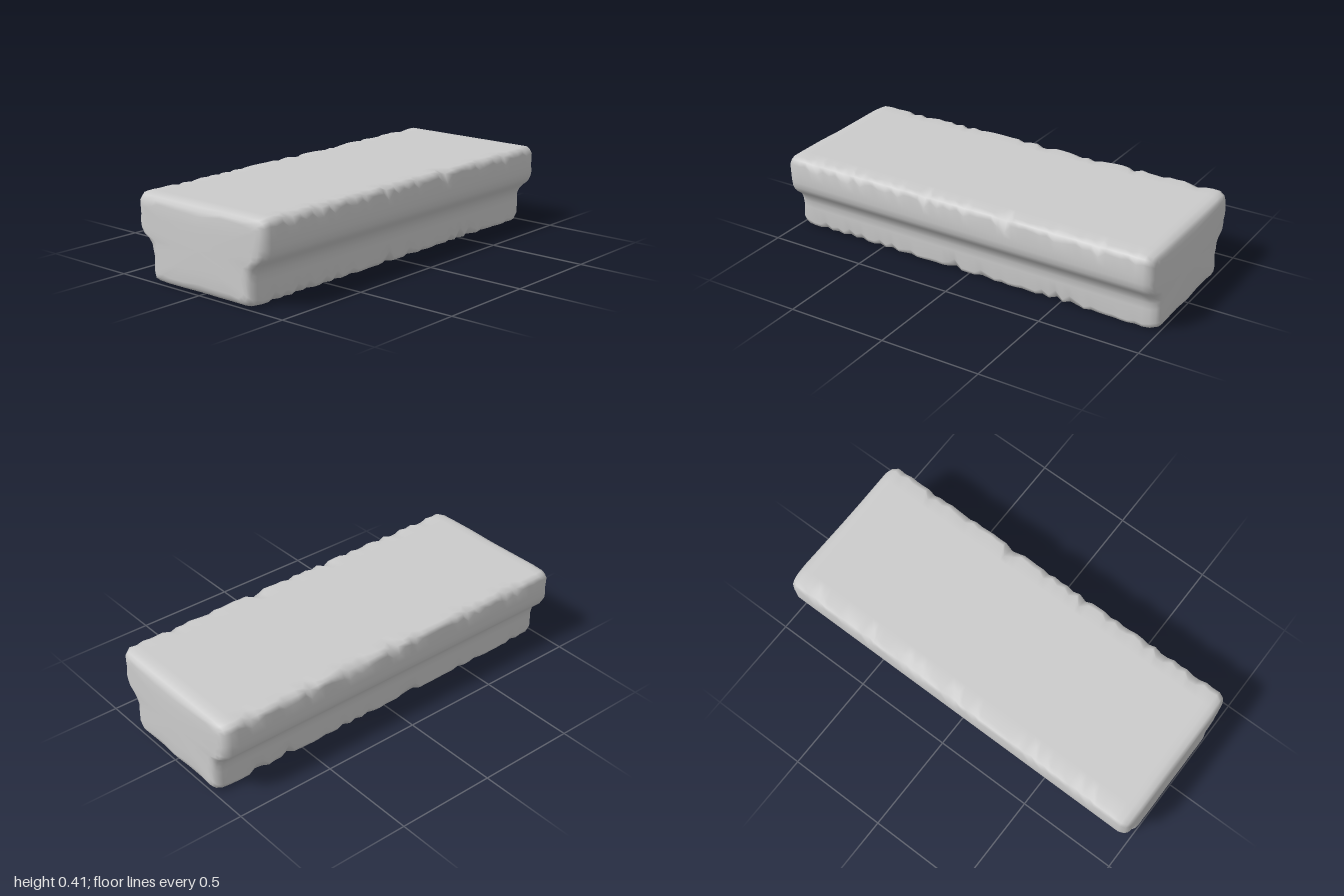
import * as THREE from 'three';

// Small seeded generator for the worn edges
function seeded(seed) {
  return () => {
    seed = (seed * 16807) % 2147483647;
    return seed / 2147483647;
  };
}

// Right half of the section, bottom to top: narrow foot, sloped shoulder, wide head.
// foot and head are the sizes of the worn corners.
function halfSection(foot, head) {
  return [
    [0, 0.003], [0.12, 0.003], [0.22, 0.003],
    [0.314 - foot, 0.004], [0.314 - 0.3 * foot, 0.003 + 0.3 * foot], [0.314, 0.003 + foot],
    [0.313, 0.11], [0.316, 0.145], [0.328, 0.175], [0.35, 0.2],
    [0.38, 0.224], [0.395, 0.25], [0.4, 0.28], [0.4, 0.31],
    [0.4, 0.408 - head], [0.4 - 0.3 * head, 0.408 - 0.3 * head], [0.4 - head, 0.408],
    [0.3, 0.408], [0.15, 0.408], [0, 0.408],
  ];
}

// Lofts the section along z, with rounded ends and irregular chips
function blockGeometry() {
  const rand = seeded(4217);
  const wear = (base) => base + 0.045 * rand() ** 4 + 0.006 * rand();
  const midY = 0.205;

  // Stations: z and how far the section is drawn in (1 = fully closed)
  const end = [[1, 1], [1, 0.5], [0.998, 0.16], [0.994, 0.09], [0.982, 0.035], [0.955, 0]];
  const stations = end.map(([z, inset]) => [-z, inset]);
  const count = 52;
  for (let i = 1; i < count; i++) stations.push([-0.955 + (1.91 * i) / count, 0]);
  stations.push(...end.slice().reverse());

  const positions = [];
  const indices = [];
  let n = 0;
  let endWear = [];
  for (const [z, inset] of stations) {
    const corners = Math.abs(z) > 0.95 ? [0.035, 0.033, 0.035, 0.033]
      : [wear(0.02), wear(0.024), wear(0.02), wear(0.024)];
    const right = halfSection(corners[0], corners[1]);
    const left = halfSection(corners[2], corners[3]).slice(1, -1).reverse();
    const ring = [...right, ...left.map(([x, y]) => [-x, y])];
    n = ring.length;
    if (!endWear.length) endWear = ring.map(() => 0.75 + 0.5 * rand());
    ring.forEach(([x, y], j) => {
      const worn = inset > 0 && inset < 0.3 ? inset * endWear[(j + (z > 0 ? 7 : 0)) % n] : inset;
      const insetY = inset < 0.3 ? Math.min(1, worn * 1.35) : worn;
      positions.push(x * (1 - worn), midY + (y - midY) * (1 - insetY), z);
    });
  }
  for (let i = 0; i < stations.length - 1; i++) {
    for (let j = 0; j < n; j++) {
      const k = (j + 1) % n;
      const a = i * n + j, b = i * n + k, c = b + n, d = a + n;
      indices.push(a, b, c, a, c, d);
    }
  }

  const geometry = new THREE.BufferGeometry();
  geometry.setAttribute('position', new THREE.Float32BufferAttribute(positions, 3));
  geometry.setIndex(indices);
  geometry.computeVertexNormals();
  // The closing points of both ends face straight out
  const normals = geometry.attributes.normal;
  const last = normals.count - n;
  for (let j = 0; j < n; j++) {
    normals.setXYZ(j, 0, 0, -1);
    normals.setXYZ(last + j, 0, 0, 1);
  }
  return geometry;
}

export function createModel() {
  const group = new THREE.Group();
  group.name = 'wornStoneBlock';
  const block = new THREE.Mesh(blockGeometry(), new THREE.MeshStandardMaterial({ color: 0xcccccc }));
  block.name = 'stoneBlock';
  group.add(block);
  return group;
}
